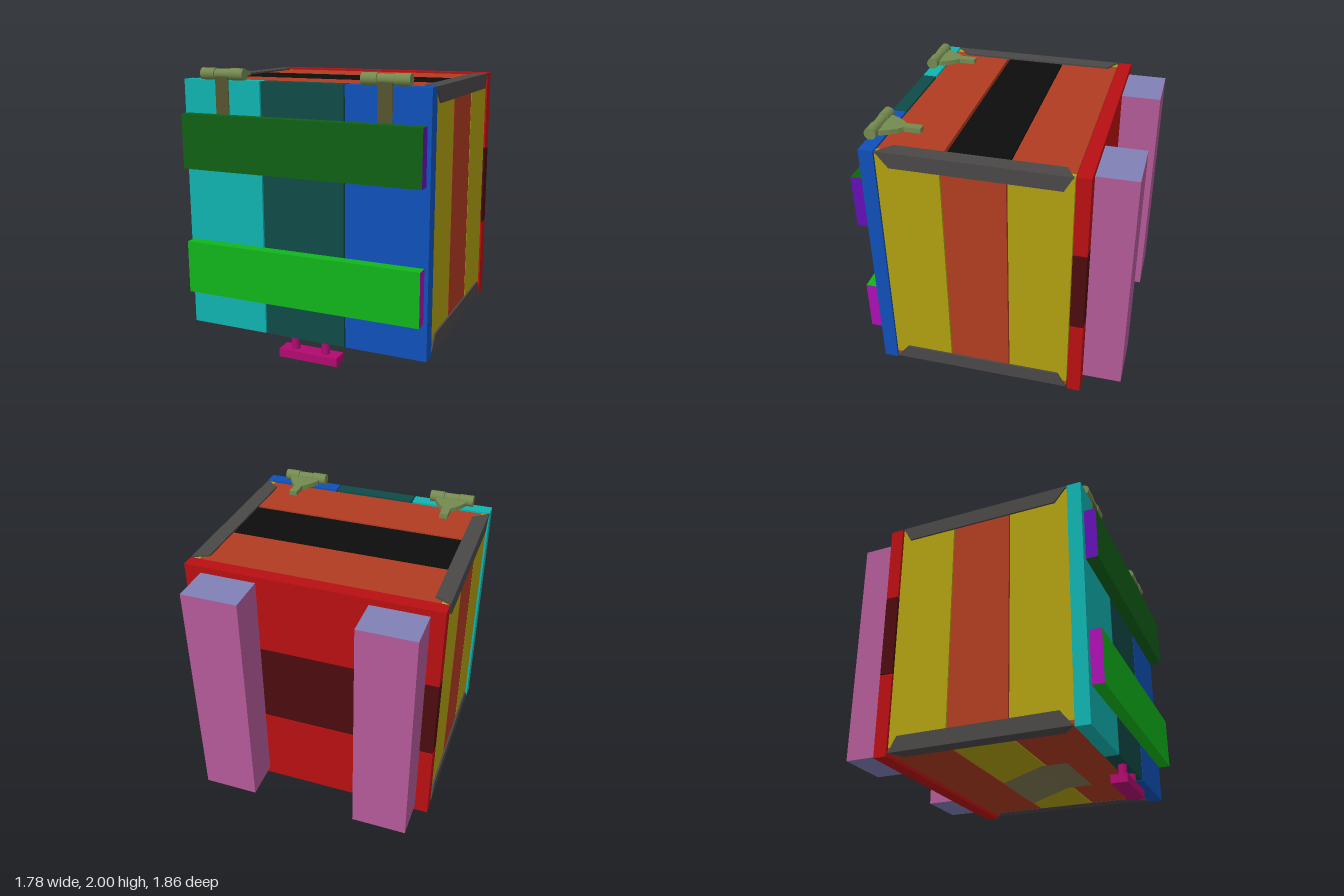
import * as THREE from 'three';

const mat = (color, side = THREE.FrontSide) => new THREE.MeshStandardMaterial({ color, side });

// Box given by its minimum and maximum on each axis
function slab(name, [x0, x1], [y0, y1], [z0, z1], material) {
  const m = new THREE.Mesh(new THREE.BoxGeometry(x1 - x0, y1 - y0, z1 - z0), material);
  m.position.set((x0 + x1) / 2, (y0 + y1) / 2, (z0 + z1) / 2);
  m.name = name;
  return m;
}

// Closed outline extruded by a thickness
function plate(points, depth) {
  const shape = new THREE.Shape(points.map(([x, y]) => new THREE.Vector2(x, y)));
  return new THREE.ExtrudeGeometry(shape, { depth, bevelEnabled: false });
}

// L-shaped edge guard made of two mitred flanges
function edgeGuard(sx, sy, material) {
  const g = new THREE.Group();
  g.name = 'edgeGuard';
  const flange = plate([[-0.545, 0], [0.735, 0], [0.645, 0.11], [-0.485, 0.11]], 0.015);
  const V = (x, y, z) => new THREE.Vector3(x, y, z);
  const side = new THREE.Mesh(flange.clone().applyMatrix4(
    new THREE.Matrix4().makeBasis(V(0, 0, 1), V(0, -1, 0), V(1, 0, 0)).setPosition(0.873, 0.88, 0)), material);
  const cap = new THREE.Mesh(flange.applyMatrix4(
    new THREE.Matrix4().makeBasis(V(0, 0, 1), V(-1, 0, 0), V(0, -1, 0)).setPosition(0.888, 0.88, 0)), material);
  side.name = 'sideFlange';
  cap.name = 'capFlange';
  g.add(side, cap);
  g.scale.set(sx, sy, 1);
  g.position.y = 1.04;
  return g;
}

// Hinge with three knuckles, a front strap and a flared leaf on the lid
function hinge(x) {
  const g = new THREE.Group();
  g.name = 'hinge';
  const metal = mat(0x74894f);
  for (const [cx, len, r] of [[-0.11, 0.105, 0.041], [0, 0.11, 0.036], [0.11, 0.105, 0.041]]) {
    const k = new THREE.Mesh(new THREE.CylinderGeometry(r, r, len, 16), metal);
    k.rotation.z = Math.PI / 2;
    k.position.set(cx, 1.959, 0.815);
    k.name = 'knuckle';
    g.add(k);
  }
  const half = [[0.03, 0.52], [0.03, 0.635], [0.06, 0.665], [0.09, 0.71], [0.115, 0.76], [0.115, 0.785]];
  const outline = [...half, ...half.map(([a, b]) => [-a, b]).reverse()];
  const leaf = new THREE.Mesh(plate(outline, 0.034), metal);
  leaf.rotation.x = Math.PI / 2;
  leaf.position.y = 1.966;
  leaf.name = 'leaf';
  g.add(leaf, slab('strap', [-0.05, 0.05], [1.5, 1.95], [0.83, 0.847], mat(0x55552f)));
  g.position.x = x;
  return g;
}

export function createModel() {
  const root = new THREE.Group();
  root.name = 'crate';
  const orange = mat(0xb03c20), yellow = mat(0xb0a010), red = mat(0xb80f12);

  // Front boards
  const frontX = [[-0.89, -0.3], [-0.29, 0.305], [0.315, 0.89]];
  [0x0fb3b0, 0x0f4a48, 0x0f50b8].forEach((c, i) =>
    root.add(slab('frontBoard', frontX[i], [0.15, 1.92], [0.74, 0.84], mat(c))));

  // Front battens with coloured ends
  for (const [y, face, end] of [[[1.31, 1.69], 0x106015, 0x6410b4], [[0.41, 0.785], 0x10b51a, 0xac10b4]]) {
    const f = mat(face), e = mat(end);
    root.add(slab('frontBatten', [-0.865, 0.865], y, [0.847, 0.93], [e, e, f, f, f, f]));
  }

  // Side, lid and floor boards
  const rows = [[-0.55, -0.13], [-0.122, 0.304], [0.312, 0.738]];
  rows.forEach((z, i) => {
    const mid = i === 1;
    for (const s of [-1, 1]) {
      const x = s > 0 ? [0.83, 0.875] : [-0.875, -0.83];
      root.add(slab('sideBoard', x, [0.2, 1.91], z, mid ? orange : yellow));
    }
    const lidZ = mid ? [z[0], 0.292] : z;
    root.add(slab('lidBoard', [-0.83, 0.83], [1.82, 1.907], lidZ, mid ? mat(0x0d0d0d) : orange));
    root.add(slab('floorBoard', [-0.873, 0.873], [0.162, 0.2], z, mid ? yellow : orange));
  });

  // Back boards
  const backY = [[0.14, 0.735], [0.742, 1.337], [1.345, 1.92]];
  backY.forEach((y, i) =>
    root.add(slab('backBoard', [-0.885, 0.885], y, [-0.652, -0.557], i === 1 ? mat(0x4c0b0e) : red)));

  // Back posts with bluish ends
  const pink = mat(0xb35a98), lilac = mat(0x8080b5);
  for (const x of [[-0.79, -0.395], [0.375, 0.77]])
    root.add(slab('backPost', x, [0.185, 1.875], [-0.93, -0.652], [pink, pink, lilac, lilac, pink, pink]));

  // Metal guards along the four long edges
  const steel = mat(0x4a4747);
  for (const sx of [-1, 1]) for (const sy of [-1, 1]) root.add(edgeGuard(sx, sy, steel));

  // Hinges
  for (const x of [-0.587, 0.587]) root.add(hinge(x));

  // Handle under the front
  const magenta = mat(0xb00a70);
  root.add(slab('handleBar', [-0.185, 0.255], [0, 0.06], [0.74, 0.857], magenta));
  for (const x of [-0.083, 0.15]) {
    const peg = new THREE.Mesh(new THREE.CylinderGeometry(0.03, 0.03, 0.12, 16), magenta);
    peg.position.set(x, 0.11, 0.8);
    peg.name = 'handlePeg';
    root.add(peg);
  }

  // Bent plate under the floor: flat at the front, sloping down to a bowed rear edge
  const bent = new THREE.PlaneGeometry(0.55, 1, 8, 5).rotateX(Math.PI / 2);
  const p = bent.attributes.position;
  for (let i = 0; i < p.count; i++) {
    const u = p.getX(i) / 0.275, t = 0.5 - p.getZ(i);
    const z = 0.47 - 0.46 * t - 0.02 * t * (1 - u * u);
    const y = 0.15 - 0.085 * Math.max(0, (t - 0.4) / 0.6) + 0.008 * t * (1 - u * u);
    p.setXYZ(i, p.getX(i) + 0.005, y, z);
  }
  bent.computeVertexNormals();
  const flap = new THREE.Mesh(bent, mat(0x7d7650, THREE.DoubleSide));
  flap.name = 'bottomFlap';
  root.add(flap);

  return root;
}
